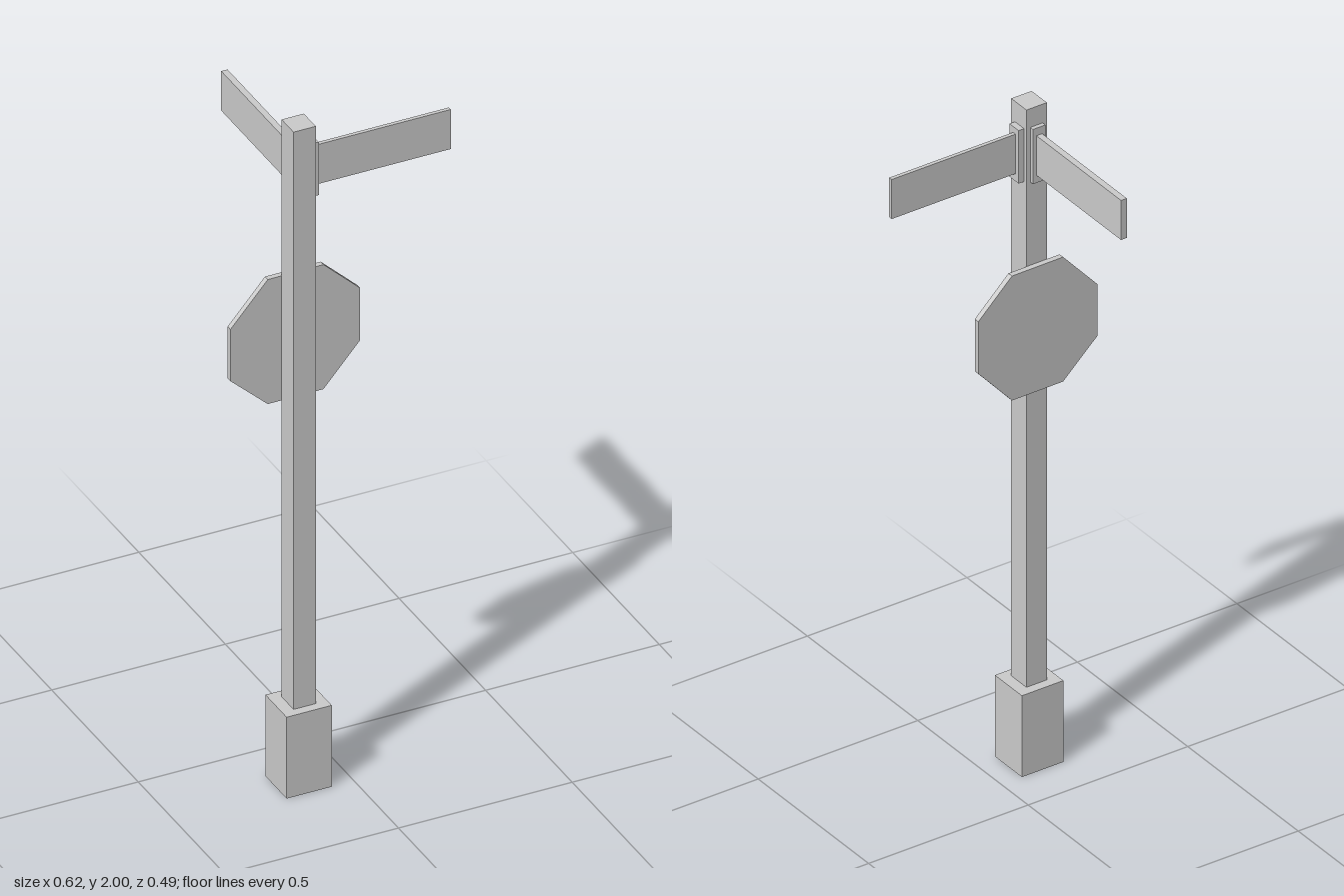
import * as THREE from 'three';

export function createModel() {
  const group = new THREE.Group();
  const material = new THREE.MeshStandardMaterial({ color: 0xcccccc, flatShading: true });

  const add = (name, geometry) => {
    const mesh = new THREE.Mesh(geometry, material);
    mesh.name = name;
    group.add(mesh);
    return mesh;
  };

  // Box given by its extents along each axis
  const box = (name, [x0, x1], [y0, y1], [z0, z1]) =>
    add(name, new THREE.BoxGeometry(x1 - x0, y1 - y0, z1 - z0))
      .position.set((x0 + x1) / 2, (y0 + y1) / 2, (z0 + z1) / 2);

  // Footing and square post
  box('base', [-0.194, -0.064], [0, 0.247], [0.121, 0.243]);
  box('post', [-0.161, -0.097], [0.247, 2], [0.148, 0.217]);

  // Direction board pointing left, with its bracket
  box('leftBracket', [-0.097, -0.08], [1.777, 1.938], [0.159, 0.2]);
  box('leftBoard', [-0.08, 0.308], [1.8, 1.92], [0.173, 0.184]);

  // Direction board pointing back, with its bracket
  box('backBracket', [-0.148, -0.109], [1.777, 1.943], [0.136, 0.148]);
  box('backBoard', [-0.138, -0.12], [1.8, 1.92], [-0.247, 0.136]);

  // Slightly uneven octagonal plate on the back of the post
  const outline = [
    [-0.08, 0.188], [-0.188, 0.067], [-0.188, -0.09], [-0.08, -0.19],
    [0.081, -0.19], [0.187, -0.071], [0.187, 0.087], [0.081, 0.188],
  ].map(([x, y]) => new THREE.Vector2(x, y));
  const plate = add('octagonPlate', new THREE.ExtrudeGeometry(
    new THREE.Shape(outline), { depth: 0.016, bevelEnabled: false }));
  plate.position.set(-0.121, 1.337, 0.1315);
  plate.rotation.y = 0.007;

  return group;
}
